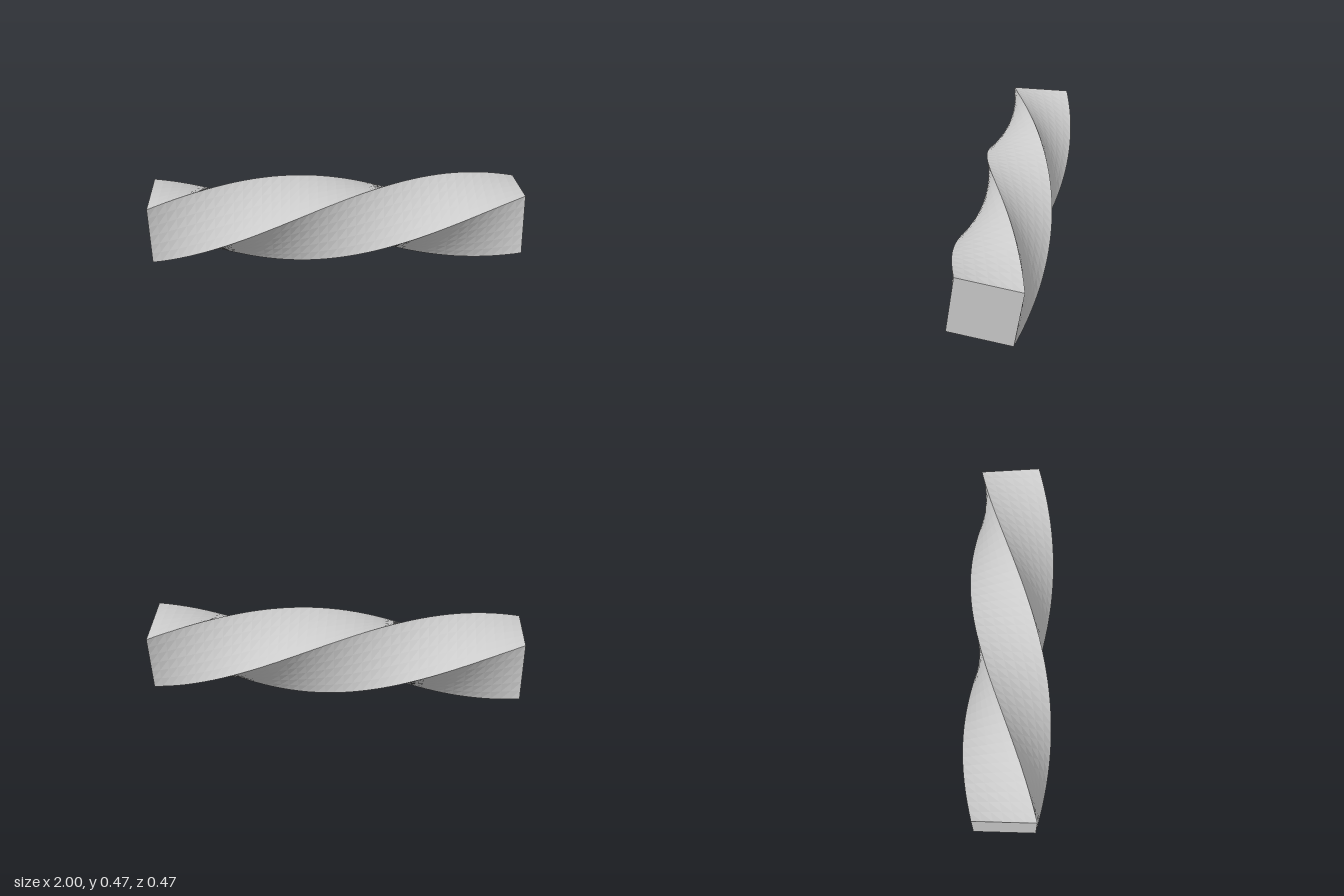
import * as THREE from 'three';

const LENGTH = 2, SIDE = 0.331, CENTRE_Y = 0.235;
const TWIST = THREE.MathUtils.degToRad(189);

// Square bar whose cross-section turns evenly along x.
function twistedBar() {
  const geometry = new THREE.BoxGeometry(LENGTH, SIDE, SIDE, 40, 6, 6);
  const position = geometry.attributes.position;
  const axis = new THREE.Vector3(1, 0, 0);
  const v = new THREE.Vector3();
  for (let i = 0; i < position.count; i++) {
    v.fromBufferAttribute(position, i);
    // The front rises from the square right end towards the left end.
    v.applyAxisAngle(axis, -TWIST * (v.x / LENGTH + 0.5));
    position.setXYZ(i, v.x, v.y, v.z);
  }
  geometry.computeVertexNormals();
  return geometry;
}

export function createModel() {
  const group = new THREE.Group();
  group.name = 'twistedSquareBar';
  const material = new THREE.MeshStandardMaterial({ color: 0xcccccc, flatShading: true });
  const bar = new THREE.Mesh(twistedBar(), material);
  bar.name = 'bar';
  bar.position.y = CENTRE_Y;
  group.add(bar);
  return group;
}
